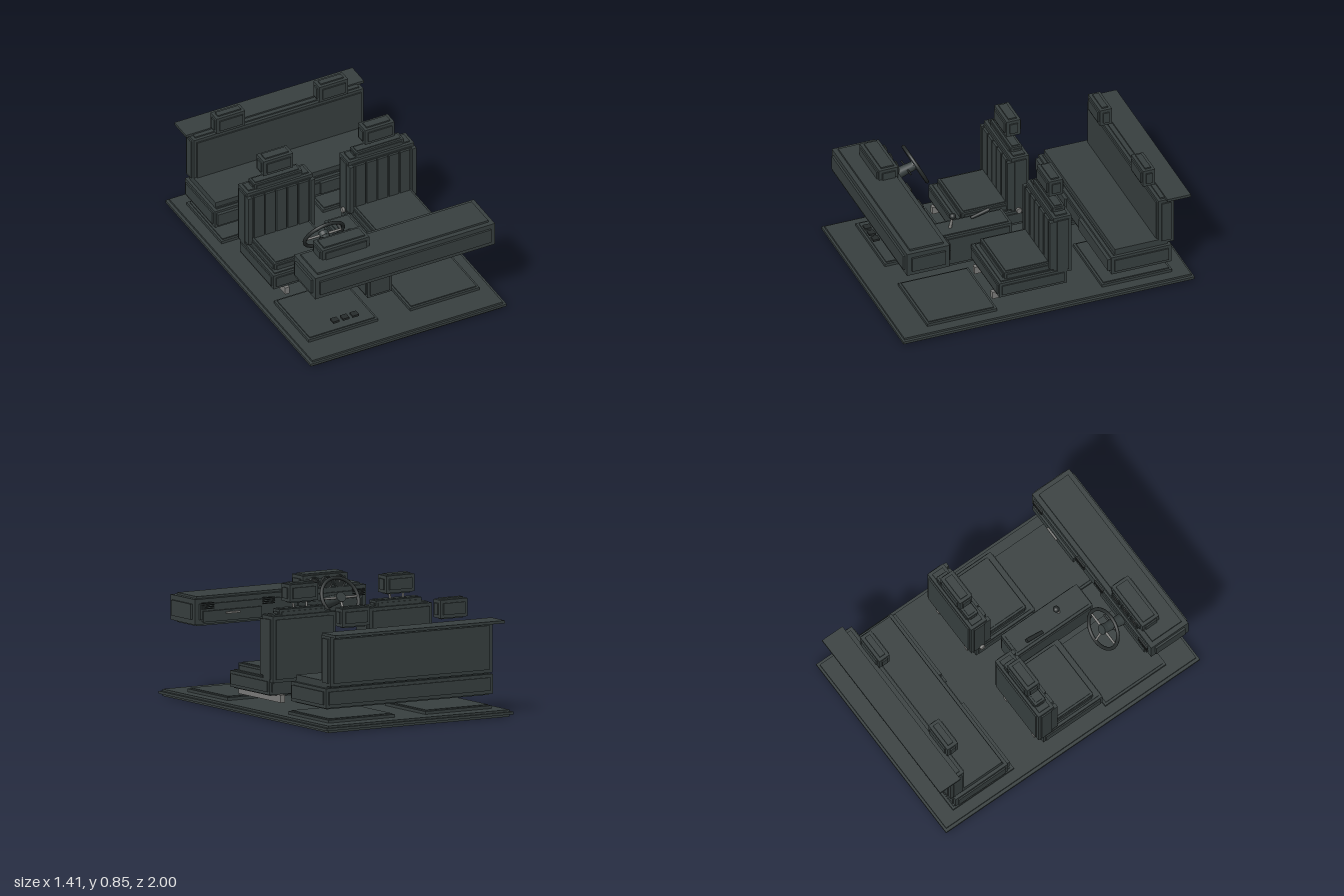
import * as THREE from 'three';

const mat = (name, color) => {
  const m = new THREE.MeshStandardMaterial({ color });
  m.name = name;
  return m;
};

export function createModel() {
  const root = new THREE.Group();
  root.name = 'carInterior';
  const trim = mat('slateTrim', 0x373f3f);
  const dark = mat('darkRubber', 0x262b2b);
  const metal = mat('greyMetal', 0x7c7c7a);

  const group = (name, parent = root, x = 0, y = 0, z = 0) => {
    const g = new THREE.Group();
    g.name = name;
    g.position.set(x, y, z);
    parent.add(g);
    return g;
  };
  const add = (parent, name, geo, material, x = 0, y = 0, z = 0) => {
    const m = new THREE.Mesh(geo, material);
    m.name = name;
    m.position.set(x, y, z);
    parent.add(m);
    return m;
  };
  // Plain box given by its limits on each axis
  const box = (parent, name, [x0, x1], [y0, y1], [z0, z1], material = trim) =>
    add(parent, name, new THREE.BoxGeometry(x1 - x0, y1 - y0, z1 - z0), material,
      (x0 + x1) / 2, (y0 + y1) / 2, (z0 + z1) / 2);
  // Box with stepped edges: a slab along each axis plus a middle core
  const stepped = (parent, name, xs, ys, zs, b, material = trim) => {
    const g = group(name, parent);
    const cut = ([a, c], d) => [a + d, c - d];
    const n = b * 0.3;
    box(g, name + 'Core', cut(xs, n), cut(ys, n), cut(zs, n), material);
    box(g, name + 'Wide', xs, cut(ys, b), cut(zs, b), material);
    box(g, name + 'Tall', cut(xs, b), ys, cut(zs, b), material);
    box(g, name + 'Deep', cut(xs, b), cut(ys, b), zs, material);
    return g;
  };
  // Round bar between two points
  const rod = (parent, name, a, c, r0, r1, material) => {
    const p = new THREE.Vector3(...a), q = new THREE.Vector3(...c);
    const m = add(parent, name, new THREE.CylinderGeometry(r1, r0, p.distanceTo(q), 16), material);
    m.position.copy(p).add(q).multiplyScalar(0.5);
    m.quaternion.setFromUnitVectors(new THREE.Vector3(0, 1, 0), q.sub(p).normalize());
    return m;
  };

  // Floor pan with a thin lip, and four mats
  const floor = group('floor');
  box(floor, 'floorPan', [-0.685, 0.685], [0, 0.045], [-0.985, 0.985]);
  box(floor, 'floorLip', [-0.705, 0.705], [0.015, 0.032], [-1, 1]);
  for (const s of [-1, 1]) for (const z of [0.56, -0.64]) {
    const mg = group('floorMat', floor, s * 0.365, 0, z);
    box(mg, 'matBase', [-0.25, 0.25], [0.04, 0.064], [-0.24, 0.24]);
    box(mg, 'matTop', [-0.235, 0.235], [0.05, 0.071], [-0.225, 0.225]);
  }

  // Front seats
  for (const s of [-1, 1]) {
    const seat = group('frontSeat', root, s * 0.365);
    stepped(seat, 'cushion', [-0.25, 0.25], [0.13, 0.25], [-0.17, 0.31], 0.026);
    stepped(seat, 'cushionPad', [-0.215, 0.215], [0.2, 0.3], [-0.13, 0.26], 0.02);
    stepped(seat, 'backrest', [-0.245, 0.245], [0.21, 0.655], [-0.205, -0.065], 0.03);
    stepped(seat, 'backrestTop', [-0.178, 0.178], [0.6, 0.69], [-0.18, -0.09], 0.02);
    for (let i = 0; i < 5; i++) {
      const x = -0.16 + i * 0.08;
      box(seat, 'backrestRib', [x - 0.035, x + 0.035], [0.28, 0.62], [-0.07, -0.05]);
    }
    for (const e of [-1, 1]) {
      box(seat, 'sideBolster', [e * 0.225 - 0.015, e * 0.225 + 0.015], [0.26, 0.62], [-0.12, -0.048]);
      box(seat, 'seatRail', [e * 0.152 - 0.016, e * 0.152 + 0.016], [0.085, 0.135], [-0.18, 0.32], metal);
      rod(seat, 'headrestPost', [e * 0.05, 0.66, -0.15], [e * 0.05, 0.75, -0.138], 0.007, 0.007, metal);
    }
    stepped(seat, 'headrest', [-0.115, 0.115], [0.72, 0.85], [-0.2, -0.085], 0.03);
    const knob = add(seat, 'reclineKnob', new THREE.CylinderGeometry(0.018, 0.018, 0.02, 16), metal, -s * 0.252, 0.25, -0.12);
    knob.rotation.z = Math.PI / 2;
  }

  // Rear bench, parcel shelf and headrests
  const rear = group('rearBench');
  stepped(rear, 'benchCushion', [-0.64, 0.64], [0.13, 0.275], [-0.88, -0.45], 0.03);
  box(rear, 'benchPad', [-0.61, 0.61], [0.25, 0.31], [-0.85, -0.49]);
  stepped(rear, 'benchBackrest', [-0.62, 0.62], [0.27, 0.615], [-0.905, -0.78], 0.03);
  box(rear, 'parcelShelf', [-0.64, 0.64], [0.607, 0.625], [-1, -0.84]);
  for (const s of [-1, 1]) {
    box(rear, 'cushionFrontPad', [s * 0.37 - 0.25, s * 0.37 + 0.25], [0.165, 0.25], [-0.5, -0.437]);
    stepped(rear, 'rearHeadrest', [s * 0.37 - 0.112, s * 0.37 + 0.112], [0.635, 0.77], [-0.83, -0.73], 0.03);
  }

  // Centre console, gear lever and handbrake
  const con = group('centreConsole');
  stepped(con, 'consoleBody', [-0.095, 0.095], [0.08, 0.32], [0, 0.61], 0.025);
  rod(con, 'gearLever', [0, 0.31, 0.4], [0, 0.4, 0.38], 0.011, 0.008, metal);
  add(con, 'gearKnob', new THREE.SphereGeometry(0.022, 16, 12), dark, 0, 0.4, 0.38);
  rod(con, 'handbrake', [-0.05, 0.32, 0.235], [-0.05, 0.355, 0.11], 0.011, 0.014, dark);

  // Dashboard with instrument pod, vents and glovebox
  const dash = group('dashboard');
  stepped(dash, 'dashBody', [-0.66, 0.66], [0.48, 0.67], [0.645, 0.965], 0.045);
  stepped(dash, 'instrumentPod', [-0.53, -0.175], [0.64, 0.75], [0.672, 0.82], 0.03);
  box(dash, 'gloveboxLid', [0.16, 0.6], [0.51, 0.58], [0.63, 0.65]);
  box(dash, 'gloveboxHandle', [0.33, 0.43], [0.555, 0.567], [0.617, 0.632], metal);
  box(dash, 'lowerPanel', [-0.6, -0.12], [0.51, 0.58], [0.637, 0.65]);
  for (const x of [-0.58, -0.1, 0.1, 0.56]) {
    for (let i = 0; i < 4; i++)
      box(dash, 'ventSlat', [x - 0.045, x + 0.045], [0.592 + i * 0.012, 0.598 + i * 0.012], [0.636, 0.65], dark);
  }
  for (let i = 0; i < 3; i++) {
    const x = -0.45 + i * 0.098;
    const face = add(dash, 'gaugeFace', new THREE.CylinderGeometry(0.038, 0.038, 0.008, 24), dark, x, 0.688, 0.668);
    face.rotation.x = Math.PI / 2;
    add(dash, 'gaugeRing', new THREE.TorusGeometry(0.04, 0.005, 8, 24), trim, x, 0.688, 0.665);
    box(dash, 'gaugeNeedle', [x - 0.002, x + 0.002], [0.685, 0.715], [0.66, 0.665], metal);
  }

  // Steering wheel leaning away from the driver, and its column
  const steer = group('steering');
  const wheel = group('steeringWheel', steer, -0.348, 0.613, 0.498);
  wheel.rotation.x = Math.atan2(0.125, 0.245);
  add(wheel, 'wheelRim', new THREE.TorusGeometry(0.135, 0.012, 10, 40), dark);
  const hub = add(wheel, 'wheelHub', new THREE.CylinderGeometry(0.034, 0.034, 0.03, 20), trim);
  hub.rotation.x = Math.PI / 2;
  for (const a of [0, Math.PI, -Math.PI / 2])
    rod(wheel, 'wheelSpoke', [0, 0, 0], [Math.cos(a) * 0.132, Math.sin(a) * 0.132, 0], 0.009, 0.007, metal);
  rod(steer, 'steeringColumn', [-0.348, 0.607, 0.505], [-0.348, 0.56, 0.66], 0.03, 0.04, trim);
  rod(steer, 'stalks', [-0.43, 0.6, 0.56], [-0.266, 0.6, 0.56], 0.006, 0.006, dark);

  // Pedals
  for (let i = 0; i < 3; i++) {
    const x = -0.425 + i * 0.07;
    box(root, 'pedal', [x - 0.023, x + 0.023], [0.148, 0.162], [0.775, 0.82], dark);
  }
  return root;
}
